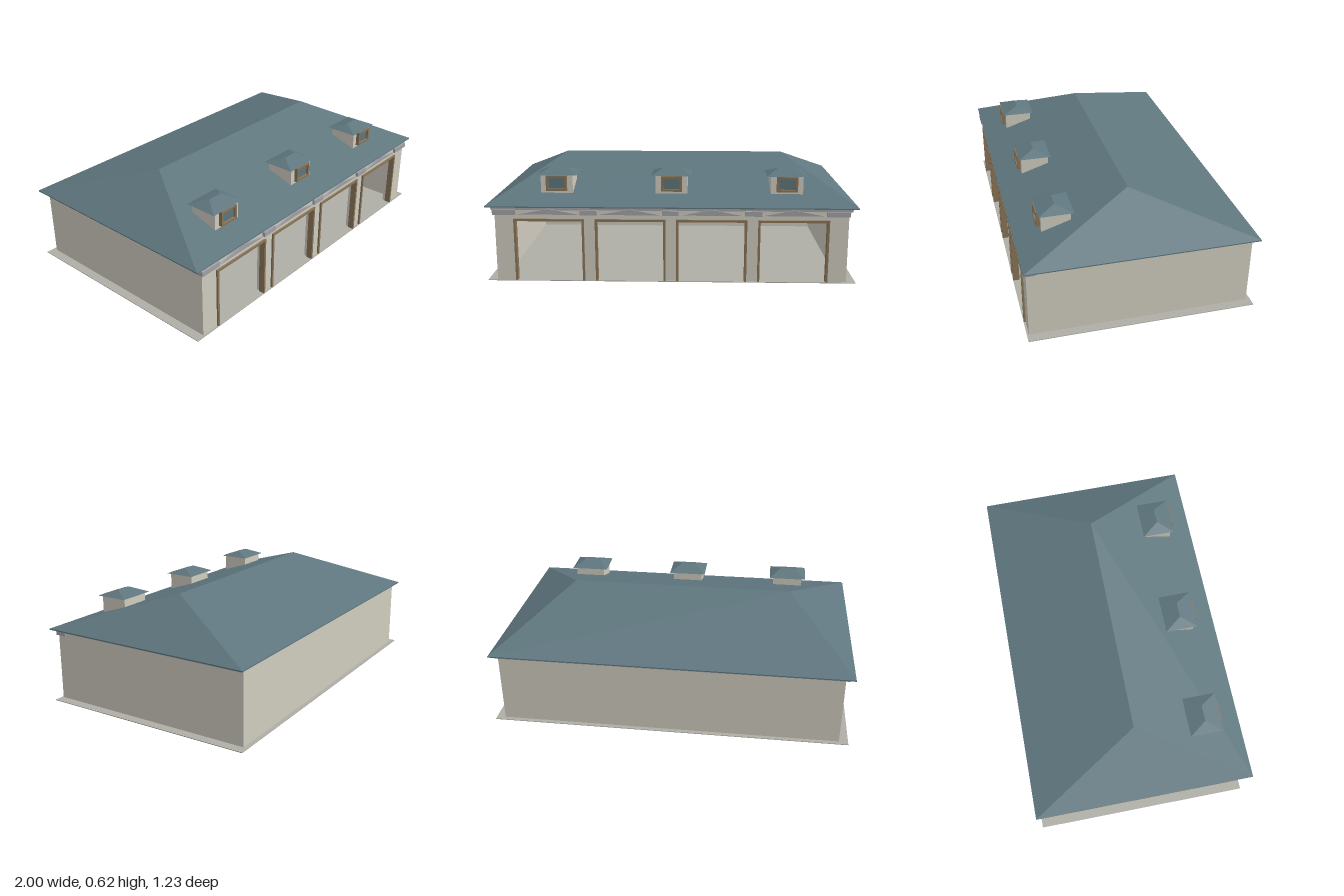
import * as THREE from 'three';

const mat = (color) => new THREE.MeshStandardMaterial({ color, flatShading: true });

export function createModel() {
  const model = new THREE.Group();
  model.name = 'garage';
  const wall = mat(0xd0ccbf), roof = mat(0x5f767e), wood = mat(0x8a7558);
  const trim = mat(0xa3a3a6), stone = mat(0xb0aea6);

  const add = (parent, name, geometry, material) => {
    const mesh = new THREE.Mesh(geometry, material);
    mesh.name = name;
    parent.add(mesh);
    return mesh;
  };
  // Box given by its two extreme corners
  const box = (parent, name, material, x0, x1, y0, y1, z0, z1) => {
    const g = new THREE.BoxGeometry(x1 - x0, y1 - y0, z1 - z0);
    g.translate((x0 + x1) / 2, (y0 + y1) / 2, (z0 + z1) / 2);
    return add(parent, name, g, material);
  };
  // Hip roof: a box whose top is pinched to a ridge along x
  const hip = (parent, name, halfX, halfZ, ridgeX, y0, y1) => {
    const g = new THREE.BoxGeometry(2 * halfX, y1 - y0, 2 * halfZ);
    const p = g.attributes.position;
    for (let i = 0; i < p.count; i++) {
      if (p.getY(i) > 0) p.setXYZ(i, Math.sign(p.getX(i)) * ridgeX, p.getY(i), 0);
    }
    const index = Array.from(g.index.array);
    index.splice(12, 6); // the top face has collapsed to the ridge
    g.setIndex(index);
    g.clearGroups();
    g.translate(0, (y0 + y1) / 2, 0);
    g.computeVertexNormals();
    return add(parent, name, g, roof);
  };
  // Three-sided surround: two posts and a head, with an optional sill
  const surround = (parent, name, x0, x1, y0, y1, z0, z1, t, sill) => {
    const group = new THREE.Group();
    group.name = name;
    box(group, 'post', wood, x0, x0 + t, y0, y1, z0, z1);
    box(group, 'post', wood, x1 - t, x1, y0, y1, z0, z1);
    box(group, 'head', wood, x0 + t, x1 - t, y1 - t, y1, z0, z1);
    if (sill) box(group, 'sill', wood, x0 + t, x1 - t, y0, y0 + t, z0, z1);
    parent.add(group);
  };

  // Floor slab and outer walls
  box(model, 'floorSlab', stone, -1, 1, 0, 0.004, -0.615, 0.61);
  box(model, 'backWall', wall, -0.95, 0.95, 0.003, 0.4, -0.592, -0.55);
  for (const s of [-1, 1]) {
    box(model, 'sideWall', wall, s * 0.93 - 0.02, s * 0.93 + 0.02, 0.003, 0.4, -0.55, 0.6);
  }

  // Front wall: header, piers and framed door openings
  const doors = [-0.658, -0.219, 0.219, 0.658];
  const half = 0.19;
  box(model, 'frontHeader', wall, -0.91, 0.91, 0.34, 0.4, 0.555, 0.6);
  const edges = [-0.91, ...doors.flatMap((x) => [x - half + 0.005, x + half - 0.005]), 0.91];
  for (let i = 0; i < edges.length; i += 2) {
    box(model, 'frontPier', wall, edges[i], edges[i + 1], 0.003, 0.34, 0.555, 0.6);
  }
  for (const x of doors) {
    surround(model, 'doorFrame', x - half, x + half, 0.004, 0.348, 0.575, 0.61, 0.012, false);
  }

  // Cornice under the eaves
  box(model, 'cornice', trim, -0.97, 0.97, 0.396, 0.416, -0.596, 0.603);

  // Brackets above the piers, low pediments above the doors
  for (const [x0, x1] of [[-0.96, -0.835], [-0.488, -0.396], [-0.046, 0.042], [0.396, 0.488], [0.83, 0.955]]) {
    box(model, 'bracket', trim, x0, x1, 0.371, 0.398, 0.552, 0.615);
  }
  for (const x of doors) {
    const s = new THREE.Shape([
      new THREE.Vector2(-0.17, 0.373), new THREE.Vector2(0.17, 0.373), new THREE.Vector2(0, 0.405),
    ]);
    const g = new THREE.ExtrudeGeometry(s, { depth: 0.025, bevelEnabled: false });
    g.translate(x, 0, 0.585);
    add(model, 'pediment', g, trim);
  }

  // Main hip roof with a thin eave edge
  box(model, 'eave', roof, -1, 1, 0.412, 0.418, -0.617, 0.617);
  hip(model, 'mainRoof', 1, 0.617, 0.64, 0.418, 0.62);

  // Dormers
  for (const x of [-0.63, 0, 0.63]) {
    const dormer = new THREE.Group();
    dormer.name = 'dormer';
    box(dormer, 'dormerWalls', wall, -0.088, 0.088, 0.463, 0.564, 0.32, 0.477);
    box(dormer, 'windowPane', roof, -0.047, 0.047, 0.488, 0.552, 0.47, 0.484);
    surround(dormer, 'windowFrame', -0.057, 0.057, 0.478, 0.562, 0.476, 0.497, 0.012, true);
    hip(dormer, 'dormerRoof', 0.11, 0.093, 0.044, 0.563, 0.595).position.z = 0.398;
    dormer.position.x = x;
    model.add(dormer);
  }
  return model;
}
